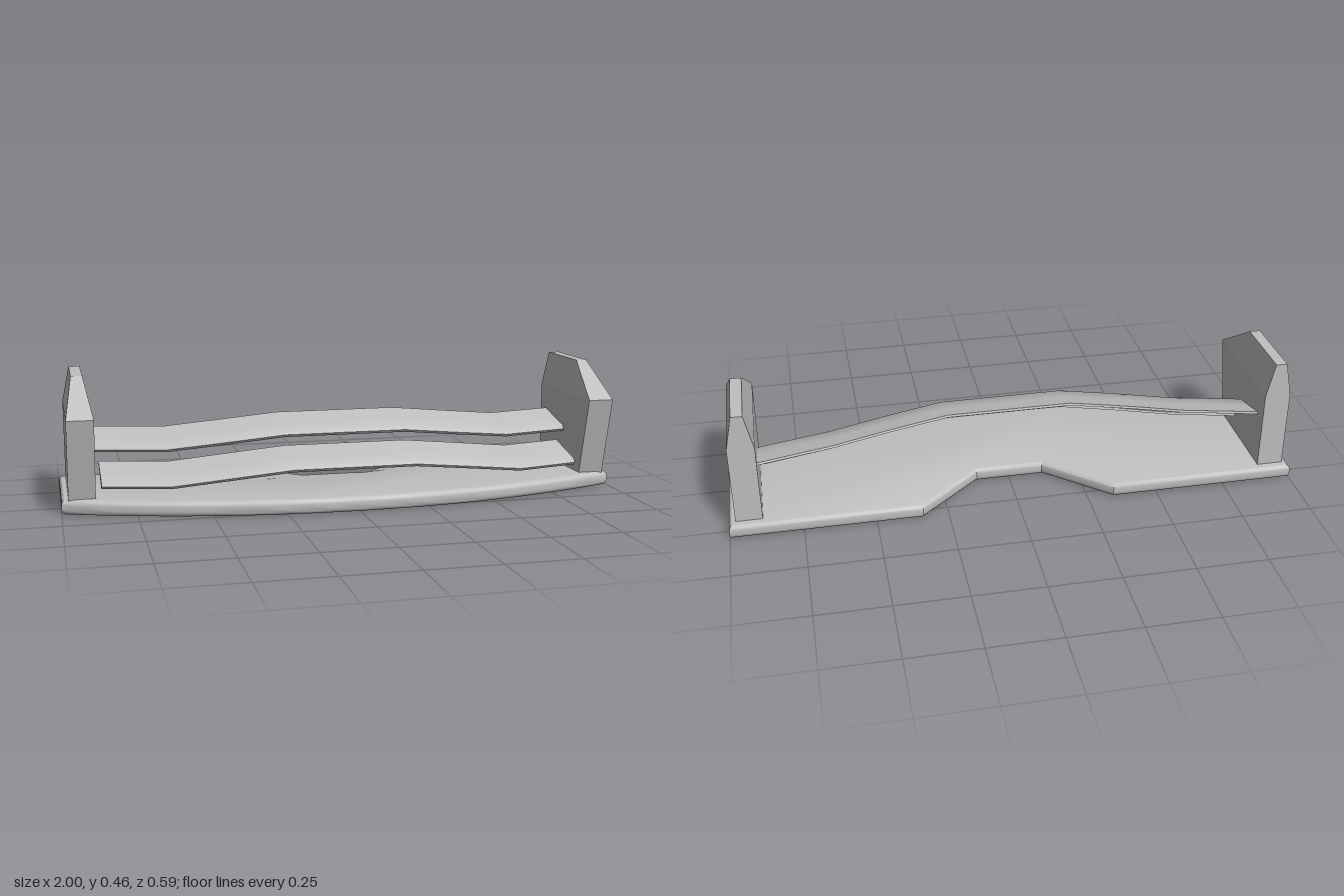
import * as THREE from 'three';
import { toCreasedNormals } from 'three/addons/utils/BufferGeometryUtils.js';
import { ConvexGeometry } from 'three/addons/geometries/ConvexGeometry.js';

const grey = new THREE.MeshStandardMaterial({ color: 0xbfbfbf });
grey.name = 'plain grey';

function addMesh(group, name, geometry) {
  const mesh = new THREE.Mesh(geometry, grey);
  mesh.name = name;
  group.add(mesh);
}

// Flat floor with a bowed front, a notched back and rounded edges
function floorGeometry() {
  const half = [[0.12, -0.11], [0.34, -0.3], [1, -0.3], [1, 0.1]];
  const front = [];
  for (let i = 1; i < 24; i++) {
    const x = 1 - i / 12;
    front.push([x, 0.1 + 0.192 * (1 - Math.pow(Math.abs(x), 2.1))]);
  }
  const mirrored = half.map(([x, z]) => [-x, z]).reverse();
  const outline = [...half, ...front, ...mirrored];
  const shape = new THREE.Shape(outline.map(([x, z]) => new THREE.Vector2(x, -z)));
  const geometry = new THREE.ExtrudeGeometry(shape, {
    depth: 0.017, bevelThickness: 0.018, bevelSize: 0.018, bevelOffset: -0.018, bevelSegments: 4,
  });
  geometry.rotateX(-Math.PI / 2).translate(0, 0.018, 0);
  return toCreasedNormals(geometry, 0.6);
}

// Upright end plate whose upper part tapers to a narrow top
function endPlateGeometry(side) {
  const levels = [ // y, inner x, outer x, back z, front z
    [0.045, 0.885, 0.977, -0.272, 0.102],
    [0.335, 0.885, 0.977, -0.272, 0.175],
    [0.46, 0.912, 0.951, -0.272, -0.01],
  ];
  const points = [];
  for (const [y, inner, outer, back, front] of levels)
    for (const x of [inner, outer])
      for (const z of [back, front]) points.push(new THREE.Vector3(side * x, y, z));
  return new ConvexGeometry(points);
}

// Wing section as [distance behind nose, height]: over the top, then back below
const section = [
  [0, 0.012], [0.012, 0.027], [0.09, 0.044], [0.174, 0.066],
  [0.177, 0.058], [0.1, 0.026], [0.025, 0.001], [0.006, 0.003],
];

// Swept wing lofted through mirrored stations of [x, base y, front z]
function wingGeometry(halfStations) {
  const stations = [
    ...halfStations.map(([x, y, z]) => [-x, y, z]),
    ...[...halfStations].reverse(),
  ];
  const n = section.length, positions = [], index = [];
  for (const [x, y, z] of stations)
    for (const [d, h] of section) positions.push(x, y + h, z - d);
  for (let i = 0; i < stations.length - 1; i++)
    for (let j = 0; j < n; j++) {
      const a = i * n + j, b = i * n + (j + 1) % n;
      index.push(a, a + n, b, b, a + n, b + n);
    }
  // End caps
  const last = (stations.length - 1) * n;
  for (let j = 0; j < n / 2 - 1; j++) {
    const a = j, b = j + 1, c = n - 2 - j, d = n - 1 - j;
    index.push(a, b, c, a, c, d);
    index.push(last + a, last + c, last + b, last + a, last + d, last + c);
  }
  const geometry = new THREE.BufferGeometry();
  geometry.setAttribute('position', new THREE.Float32BufferAttribute(positions, 3));
  geometry.setIndex(index);
  return toCreasedNormals(geometry, 0.9);
}

export function createModel() {
  const model = new THREE.Group();
  model.name = 'frontWing';
  addMesh(model, 'floorPlate', floorGeometry());
  addMesh(model, 'leftEndPlate', endPlateGeometry(1));
  addMesh(model, 'rightEndPlate', endPlateGeometry(-1));
  addMesh(model, 'upperWing', wingGeometry([
    [0.887, 0.18, -0.048], [0.63, 0.18, 0.012], [0.43, 0.202, 0.042], [0.22, 0.225, 0.065],
  ]));
  addMesh(model, 'lowerWing', wingGeometry([
    [0.865, 0.082, 0.11], [0.63, 0.082, 0.167], [0.43, 0.106, 0.195], [0.22, 0.13, 0.22],
  ]));
  return model;
}
